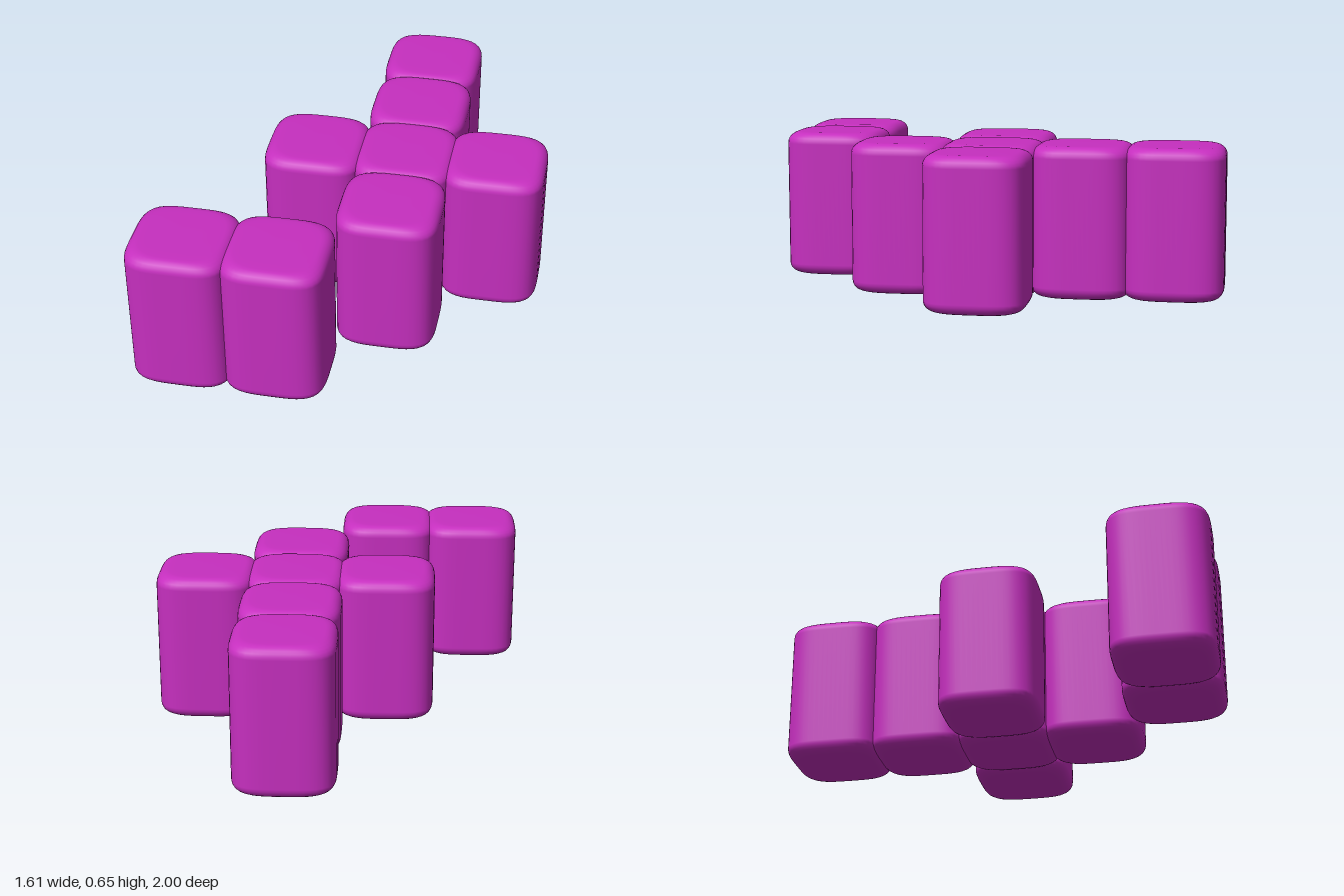
import * as THREE from 'three';
import { mergeVertices } from 'three/addons/utils/BufferGeometryUtils.js';

const HALF = 0.215, HEIGHT = 0.65, STEP = 0.392, BEVEL = 0.05;

// Soft upright block: a lathed profile whose round plan is pushed out to a rounded square
function softBlock() {
  const lower = [[0, 0], [0.08, 0], [0.14, 0.0005]];
  for (let i = 0; i <= 6; i++) {
    const a = (i / 6) * Math.PI / 2;
    lower.push([HALF - BEVEL + BEVEL * Math.sin(a), BEVEL * (1 - Math.cos(a)) + 0.001 * (1 - i / 6)]);
  }
  const upper = lower.map(([r, y]) => [r, HEIGHT - y]).reverse();
  const profile = [...lower, ...upper].map(([r, y]) => new THREE.Vector2(r, y));
  let geo = new THREE.LatheGeometry(profile, 64);
  const pos = geo.attributes.position;
  for (let i = 0; i < pos.count; i++) {
    const x = pos.getX(i), z = pos.getZ(i), r = Math.hypot(x, z);
    if (r < 1e-6) continue;
    // Corners get rounder toward the caps, widening the bevel there
    const n = 3.3 + 0.8 * THREE.MathUtils.smoothstep(r, HALF - BEVEL, HALF);
    const k = Math.pow(Math.pow(Math.abs(x / r), n) + Math.pow(Math.abs(z / r), n), -1 / n);
    pos.setX(i, x * k);
    pos.setZ(i, z * k);
  }
  geo.deleteAttribute('uv');
  geo.deleteAttribute('normal');
  geo = mergeVertices(geo, 1e-5);
  geo.computeVertexNormals();
  return geo;
}

export function createModel() {
  const group = new THREE.Group();
  group.name = 'blockFigure';
  const geo = softBlock();
  const material = new THREE.MeshStandardMaterial({ color: 0xc62fbf });
  // Column and row of each block, in grid steps from the centre
  const cells = {
    backEndBlock: [0.5, -2],
    backBlock: [0.5, -1],
    rightArmBlock: [-0.5, 0],
    centreBlock: [0.5, 0],
    leftArmBlock: [1.5, 0],
    frontBlock: [0.5, 1],
    outerPairBlock: [-1.5, 2],
    innerPairBlock: [-0.5, 2],
  };
  for (const [name, [col, row]] of Object.entries(cells)) {
    const mesh = new THREE.Mesh(geo, material);
    mesh.name = name;
    mesh.position.set(col * STEP, 0, row * STEP);
    group.add(mesh);
  }
  return group;
}
